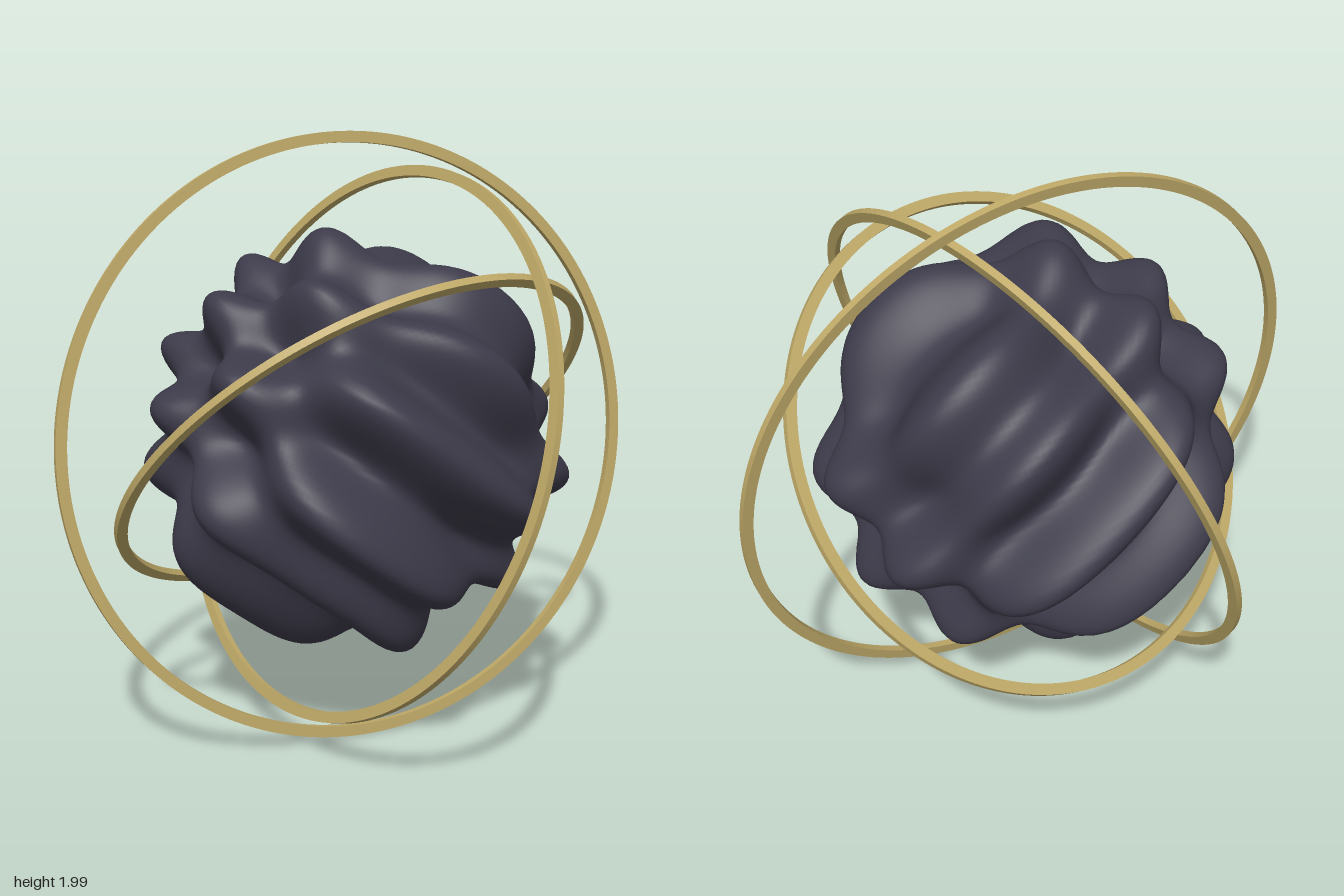
import * as THREE from 'three';
import { mergeVertices } from 'three/addons/utils/BufferGeometryUtils.js';

const CENTRE_Y = 0.995;

// Flat hoop with a rectangular section, facing along the given normal
function makeRing(name, outer, normal, material) {
  const width = 0.036, depth = 0.024;
  const shape = new THREE.Shape().absarc(0, 0, outer, 0, Math.PI * 2, false);
  shape.holes.push(new THREE.Path().absarc(0, 0, outer - width, 0, Math.PI * 2, true));
  const geometry = new THREE.ExtrudeGeometry(shape, { depth, bevelEnabled: false, curveSegments: 96 });
  geometry.translate(0, 0, -depth / 2);
  const ring = new THREE.Mesh(geometry, material);
  ring.name = name;
  ring.quaternion.setFromUnitVectors(new THREE.Vector3(0, 0, 1), new THREE.Vector3(...normal).normalize());
  ring.position.y = CENTRE_Y;
  return ring;
}

// Sphere rippled by crossed waves along a tilted axis and along z
function makeCore(material) {
  let geometry = new THREE.IcosahedronGeometry(1, 40);
  geometry.deleteAttribute('uv');
  geometry.deleteAttribute('normal');
  geometry = mergeVertices(geometry, 1e-5);
  const position = geometry.attributes.position;
  const axis = new THREE.Vector3(0.615, 0.788, 0);
  const p = new THREE.Vector3();
  for (let i = 0; i < position.count; i++) {
    p.fromBufferAttribute(position, i).normalize();
    const wave = Math.cos(11.6 * (p.dot(axis) - 0.14)) * Math.cos(7.0 * p.z);
    p.multiplyScalar(0.62 + 0.092 * wave);
    position.setXYZ(i, p.x, p.y, p.z);
  }
  geometry.computeVertexNormals();
  const core = new THREE.Mesh(geometry, material);
  core.name = 'rippledCore';
  core.position.y = CENTRE_Y;
  return core;
}

export function createModel() {
  const stone = new THREE.MeshStandardMaterial({ color: 0x3d3b4a });
  stone.name = 'dark stone';
  const gold = new THREE.MeshStandardMaterial({ color: 0xbfa968 });
  gold.name = 'pale gold';

  const model = new THREE.Group();
  model.name = 'ringedOrb';
  model.add(
    makeCore(stone),
    makeRing('outerRing', 1.0, [0, 0.13, 0.99], gold),
    makeRing('middleRing', 0.925, [0.92, -0.335, -0.2], gold),
    makeRing('innerRing', 0.85, [-0.19, 0.694, -0.694], gold),
  );
  return model;
}
